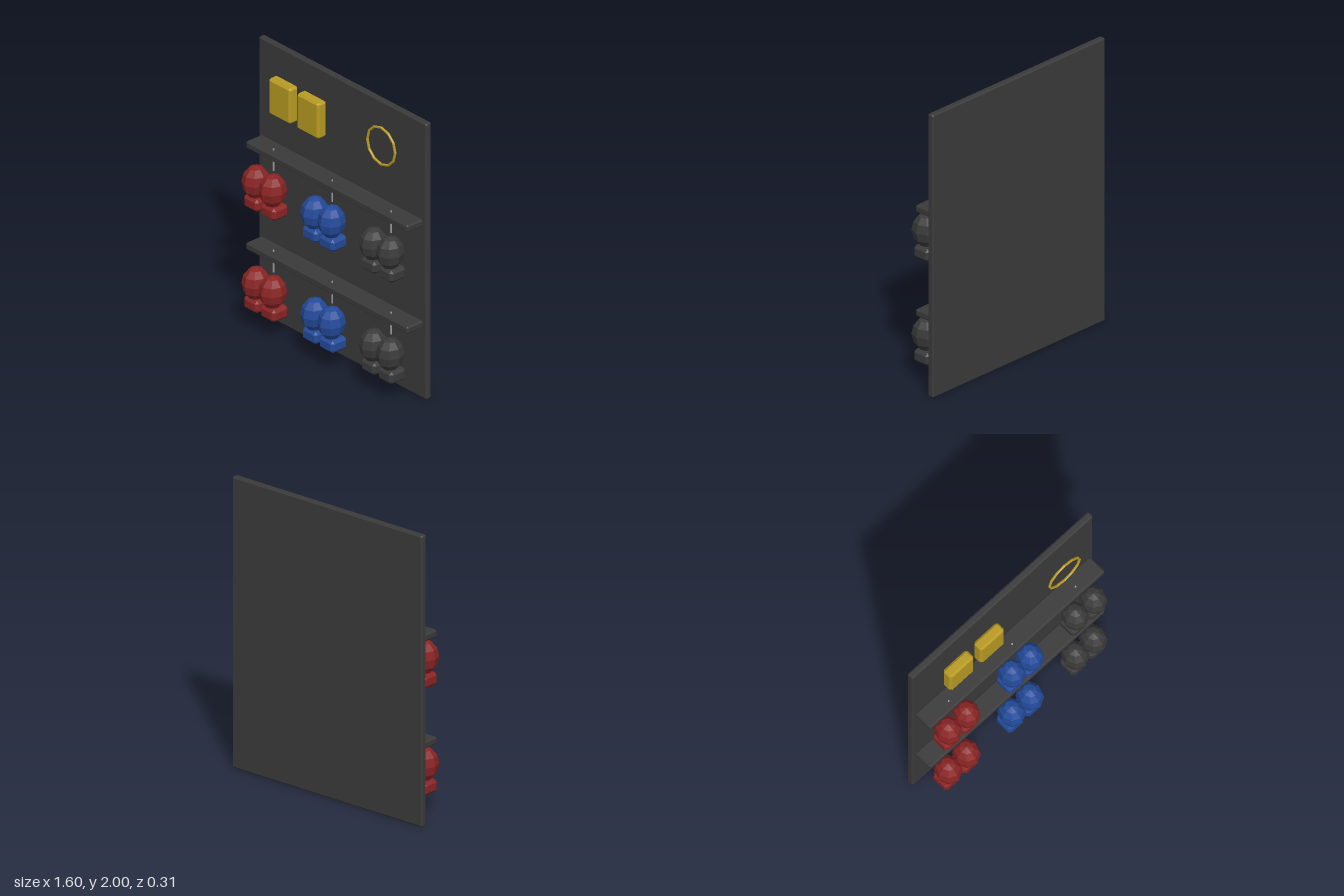
import * as THREE from 'three';
import { ConvexGeometry } from 'three/addons/geometries/ConvexGeometry.js';

const mat = (name, color) => {
  const m = new THREE.MeshStandardMaterial({ color, flatShading: true });
  m.name = name;
  return m;
};

// Box with flat chamfers of width b on every edge
function chamferBox(w, h, d, b) {
  const pts = [];
  const [x, y, z] = [w / 2, h / 2, d / 2];
  for (const i of [-1, 1]) for (const j of [-1, 1]) for (const k of [-1, 1]) {
    pts.push(
      new THREE.Vector3(i * x, j * (y - b), k * (z - b)),
      new THREE.Vector3(i * (x - b), j * y, k * (z - b)),
      new THREE.Vector3(i * (x - b), j * (y - b), k * z));
  }
  return new ConvexGeometry(pts);
}

export function createModel() {
  const root = new THREE.Group();
  root.name = 'gloveDisplayRack';
  const charcoal = mat('charcoal', 0x3a3a3a);
  const red = mat('red', 0x8a2424);
  const blue = mat('blue', 0x234a99);
  const yellow = mat('yellow', 0xb89a22);
  const steel = mat('steel', 0x999999);

  const add = (parent, name, geo, material, x, y, z) => {
    const m = new THREE.Mesh(geo, material);
    m.name = name;
    m.position.set(x, y, z);
    parent.add(m);
    return m;
  };

  // Back panel
  add(root, 'backPanel', chamferBox(1.6, 2, 0.048, 0.01), charcoal, 0, 1, -0.13);

  // Shared parts
  const shelfGeo = chamferBox(1.545, 0.052, 0.14, 0.01);
  const fistGeo = new THREE.SphereGeometry(1, 8, 6).scale(0.088, 0.115, 0.097);
  const cuffGeo = chamferBox(0.138, 0.09, 0.135, 0.02);
  const hookGeo = new THREE.CylinderGeometry(0.006, 0.006, 0.16, 6);

  // Two shelves, each with three hanging pairs of gloves
  for (const y of [1.274, 0.539]) {
    add(root, 'shelf', shelfGeo, charcoal, 0, y, -0.04);
    [red, blue, charcoal].forEach((color, i) => {
      const pair = new THREE.Group();
      pair.name = 'glovePair';
      pair.position.set((i - 1) * 0.561, y, 0);
      root.add(pair);
      add(pair, 'hook', hookGeo, steel, 0, -0.044, -0.02);
      for (const s of [-1, 1]) {
        add(pair, 'gloveFist', fistGeo, color, s * 0.081, -0.204, 0.059);
        add(pair, 'gloveCuff', cuffGeo, color, s * 0.081, -0.349, 0.046);
      }
    });
  }

  // Training pads
  const padGeo = chamferBox(0.21, 0.26, 0.076, 0.015);
  for (const x of [-0.471, -0.201]) add(root, 'trainingPad', padGeo, yellow, x, 1.7, -0.023);

  // Coiled rope ring
  add(root, 'ropeRing', new THREE.TorusGeometry(0.133, 0.009, 6, 12), yellow, 0.465, 1.74, -0.022);

  return root;
}
